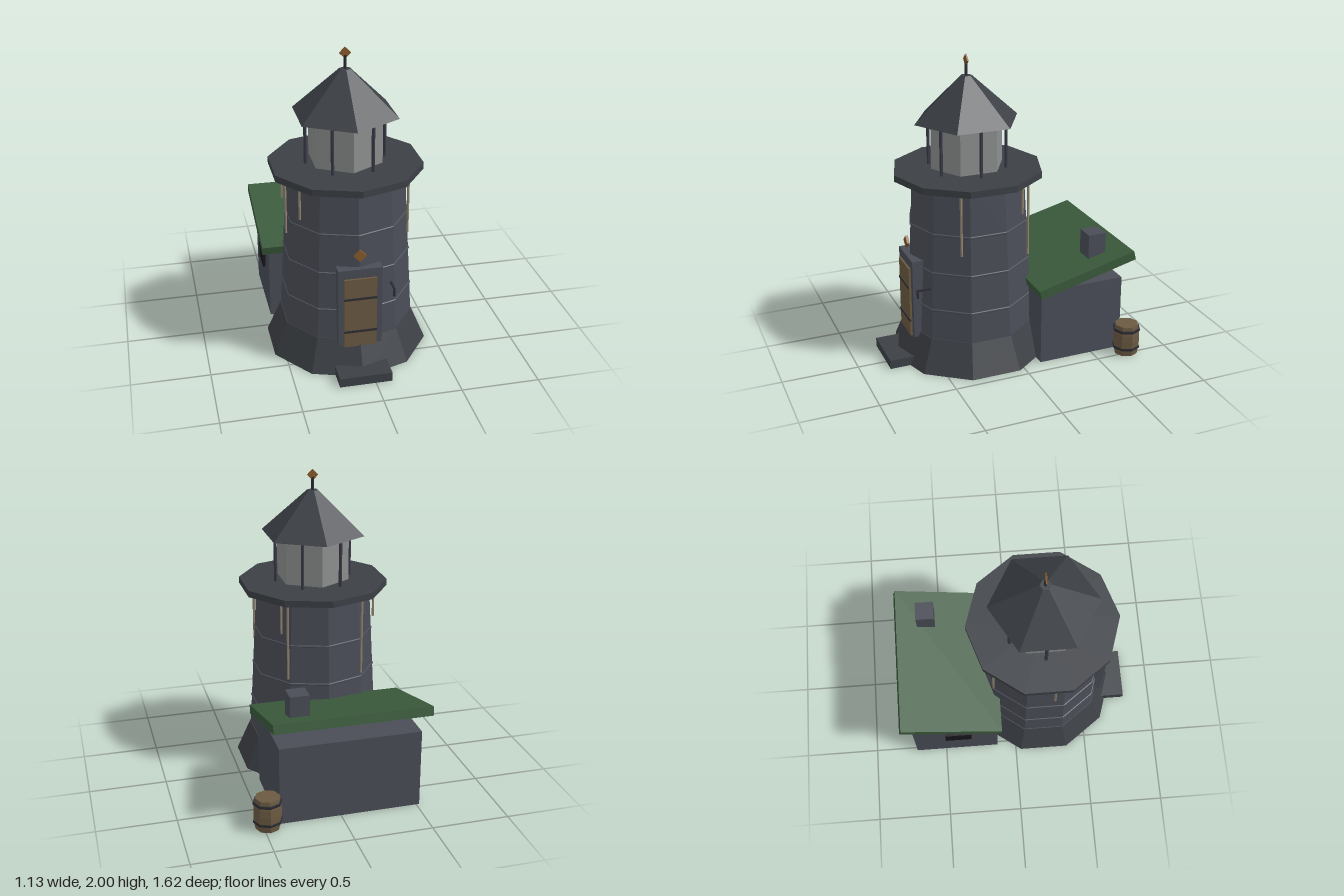
import * as THREE from 'three';

const material = (color) => new THREE.MeshStandardMaterial({ color, flatShading: true });
const stone = material(0x4a4d57), slate = material(0x3c4045), green = material(0x3a5a3c);
const wood = material(0x6b5a42), brass = material(0x85592a), iron = material(0x2c2c33);
const glass = material(0x8c8f8f), rope = material(0x8f8370), dark = material(0x18181c);
const postMat = material(0x3a3a48);

function add(parent, name, geometry, mat, x = 0, y = 0, z = 0) {
  const mesh = new THREE.Mesh(geometry, mat);
  mesh.name = name;
  mesh.position.set(x, y, z);
  parent.add(mesh);
  return mesh;
}

// Box given by its lower and upper corners
function box(parent, name, mat, [x0, y0, z0], [x1, y1, z1]) {
  return add(parent, name, new THREE.BoxGeometry(x1 - x0, y1 - y0, z1 - z0), mat,
    (x0 + x1) / 2, (y0 + y1) / 2, (z0 + z1) / 2);
}

// Upright prism or frustum between two heights
function prism(parent, name, mat, sides, rBottom, rTop, y0, y1, x = 0, z = 0) {
  return add(parent, name, new THREE.CylinderGeometry(rTop, rBottom, y1 - y0, sides), mat, x, (y0 + y1) / 2, z);
}

// Square plate standing on its corner
function diamond(parent, name, half, depth, y, z) {
  const side = half * Math.SQRT2;
  add(parent, name, new THREE.BoxGeometry(side, side, depth), brass, 0, y, z).rotation.z = Math.PI / 4;
}

// Everything here is centred on the tower axis
function makeTower() {
  const tower = new THREE.Group();
  tower.name = 'tower';
  prism(tower, 'flaredBase', slate, 10, 0.53, 0.437, 0, 0.215);

  // Tapering wall with a thin raised course at each joint
  const radius = (y) => 0.432 - (y - 0.21) * 0.056;
  const profile = [new THREE.Vector2(radius(0.21), 0.21)];
  for (const y of [0.415, 0.668, 0.927]) {
    profile.push(
      new THREE.Vector2(radius(y - 0.008), y - 0.008),
      new THREE.Vector2(radius(y) + 0.006, y - 0.004),
      new THREE.Vector2(radius(y) + 0.006, y + 0.004),
      new THREE.Vector2(radius(y + 0.008), y + 0.008));
  }
  profile.push(new THREE.Vector2(radius(1.23), 1.23));
  add(tower, 'wall', new THREE.LatheGeometry(profile, 10), stone);
  prism(tower, 'gallery', slate, 10, 0.49, 0.49, 1.227, 1.27);

  // Lantern room
  prism(tower, 'lampPlinth', iron, 10, 0.085, 0.085, 1.27, 1.29);
  prism(tower, 'lanternGlass', glass, 6, 0.243, 0.243, 1.28, 1.57);
  for (let i = 0; i < 6; i++) {
    const a = i * Math.PI / 3;
    prism(tower, 'lanternPost', postMat, 6, 0.011, 0.011, 1.27, 1.6, 0.252 * Math.cos(a), 0.252 * Math.sin(a));
  }
  prism(tower, 'lanternRoof', slate, 6, 0.347, 0.036, 1.58, 1.865);
  prism(tower, 'finialRod', iron, 6, 0.01, 0.01, 1.86, 1.95);
  diamond(tower, 'finial', 0.037, 0.01, 1.963, 0);

  // Doorway
  box(tower, 'doorFrame', stone, [-0.14, 0.185, 0.32], [0.14, 0.72, 0.433]);
  box(tower, 'door', wood, [-0.103, 0.18, 0.42], [0.103, 0.66, 0.447]);
  for (const y of [0.29, 0.522]) {
    box(tower, 'doorStrap', iron, [-0.103, y - 0.007, 0.44], [0.103, y + 0.007, 0.452]);
  }
  diamond(tower, 'doorSign', 0.04, 0.018, 0.81, 0.422);
  box(tower, 'doorStep', slate, [-0.168, 0, 0.4], [0.168, 0.06, 0.61]);

  // Lamp hook beside the door
  box(tower, 'hookArm', iron, [0.213, 0.547, 0.32], [0.225, 0.558, 0.432]);
  box(tower, 'hookTip', iron, [0.213, 0.5, 0.42], [0.225, 0.558, 0.432]);

  // Strips hanging below the gallery: x, z, lower end
  const strips = [
    [0.363, 0.178, 0.81], [0.28, -0.268, 1.0], [0.25, -0.32, 0.7], [-0.24, -0.335, 0.7],
    [-0.393, -0.1, 1.0], [-0.395, 0.06, 0.83], [-0.332, 0.215, 0.99],
  ];
  for (const [x, z, y] of strips) prism(tower, 'hangingStrip', rope, 5, 0.008, 0.009, y, 1.23, x, z);
  return tower;
}

function makeAnnex() {
  const annex = new THREE.Group();
  annex.name = 'annex';
  box(annex, 'annexWalls', stone, [-0.52, 0, -0.71], [0.395, 0.515, -0.13]);
  const roof = add(annex, 'annexRoof', new THREE.BoxGeometry(1.008, 0.06, 0.693), green, -0.061, 0.597, -0.44);
  roof.rotation.x = 0.248;
  box(annex, 'chimney', stone, [0.18, 0.58, -0.628], [0.305, 0.81, -0.505]);
  box(annex, 'annexWindow', dark, [-0.537, 0.28, -0.49], [-0.51, 0.4, -0.31]);
  return annex;
}

function makeBarrel() {
  const barrel = new THREE.Group();
  barrel.name = 'barrel';
  const staves = [[0, 0], [0.078, 0], [0.088, 0.06], [0.09, 0.105], [0.088, 0.15], [0.078, 0.212], [0, 0.212]];
  add(barrel, 'staves', new THREE.LatheGeometry(staves.map(([r, y]) => new THREE.Vector2(r, y)), 8), wood);
  for (const y of [0.052, 0.178]) prism(barrel, 'hoop', iron, 8, 0.092, 0.092, y - 0.008, y + 0.008);
  barrel.position.set(0.473, 0, -0.72);
  return barrel;
}

export function createModel() {
  const model = new THREE.Group();
  model.name = 'lighthouse';
  const tower = makeTower();
  tower.position.set(-0.063, 0, 0.2);
  model.add(tower, makeAnnex(), makeBarrel());
  return model;
}
